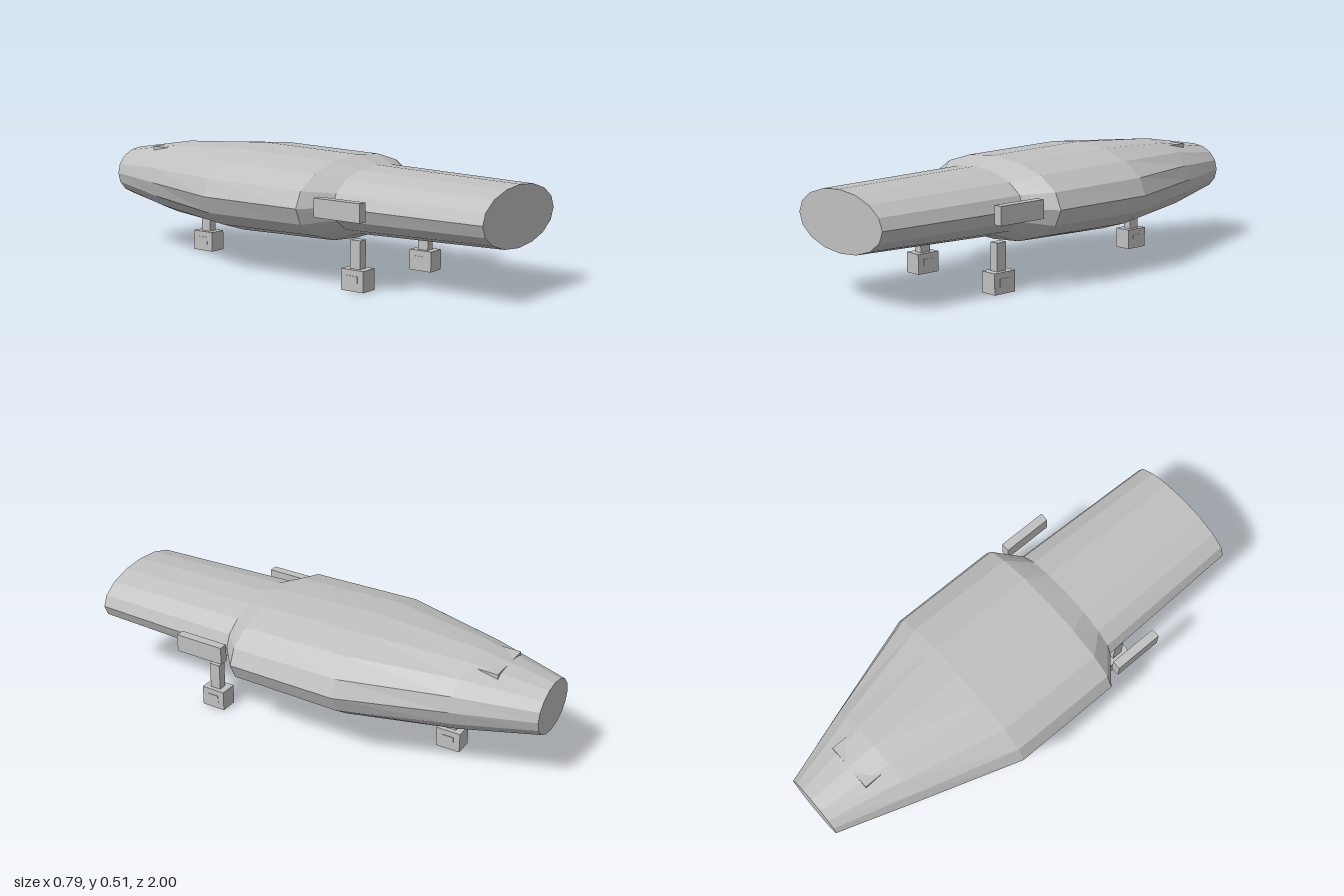
import * as THREE from 'three';

const SIDES = 16;
const AXIS_Y = 0.322;

// Hull stations: [z, half width, half height]
const STATIONS = [
  [1, 0.266, 0.122],
  [0.335, 0.285, 0.139],
  [0.24, 0.397, 0.173],
  [-0.24, 0.397, 0.186],
  [-0.68, 0.25, 0.159],
  [-1, 0.14, 0.107],
];

// Faceted elliptical loft with flat end caps
function hullGeometry() {
  const pos = [];
  const index = [];
  for (const [z, rx, ry] of STATIONS) {
    for (let j = 0; j < SIDES; j++) {
      const a = (j / SIDES) * Math.PI * 2;
      pos.push(rx * Math.cos(a), AXIS_Y + ry * Math.sin(a), z);
    }
  }
  const last = STATIONS.length - 1;
  const front = pos.length / 3;
  pos.push(0, AXIS_Y, STATIONS[0][0], 0, AXIS_Y, STATIONS[last][0]);
  for (let j = 0; j < SIDES; j++) {
    const k = (j + 1) % SIDES;
    for (let i = 0; i < last; i++) {
      const a = i * SIDES;
      const b = a + SIDES;
      index.push(a + j, b + j, a + k, a + k, b + j, b + k);
    }
    index.push(front, j, k, front + 1, last * SIDES + k, last * SIDES + j);
  }
  const g = new THREE.BufferGeometry();
  g.setAttribute('position', new THREE.Float32BufferAttribute(pos, 3));
  g.setIndex(index);
  const flat = g.toNonIndexed();
  flat.computeVertexNormals();
  return flat;
}

export function createModel() {
  const model = new THREE.Group();
  model.name = 'spacecraft';
  const grey = new THREE.MeshStandardMaterial({ color: 0xc0c0c0 });
  grey.name = 'hull grey';

  function box(parent, name, size, at) {
    const mesh = new THREE.Mesh(new THREE.BoxGeometry(...size), grey);
    mesh.name = name;
    mesh.position.set(...at);
    parent.add(mesh);
  }

  const hull = new THREE.Mesh(hullGeometry(), grey);
  hull.name = 'hull';
  model.add(hull);

  // Dorsal block, sunk into the hull so only its rear corners emerge
  box(model, 'dorsalBlock', [0.21, 0.08, 0.2], [0, 0.417, -0.707]);

  // Side pods
  for (const s of [-1, 1]) {
    box(model, s > 0 ? 'leftPod' : 'rightPod', [0.038, 0.076, 0.22], [s * 0.35, 0.331, 0.415]);
  }

  // Landing gear: strut, foot and cross axle
  const gears = [
    ['frontLeftGear', 0.238, 0.424],
    ['frontRightGear', -0.238, 0.424],
    ['rearGear', 0, -0.577],
  ];
  for (const [name, x, z] of gears) {
    const gear = new THREE.Group();
    gear.name = name;
    gear.position.set(x, 0, z);
    box(gear, 'strut', [0.037, 0.12, 0.048], [0, 0.14, 0]);
    box(gear, 'foot', [0.076, 0.086, 0.106], [0, 0.043, 0]);
    box(gear, 'axle', [0.081, 0.033, 0.05], [0, 0.045, 0]);
    model.add(gear);
  }

  return model;
}
